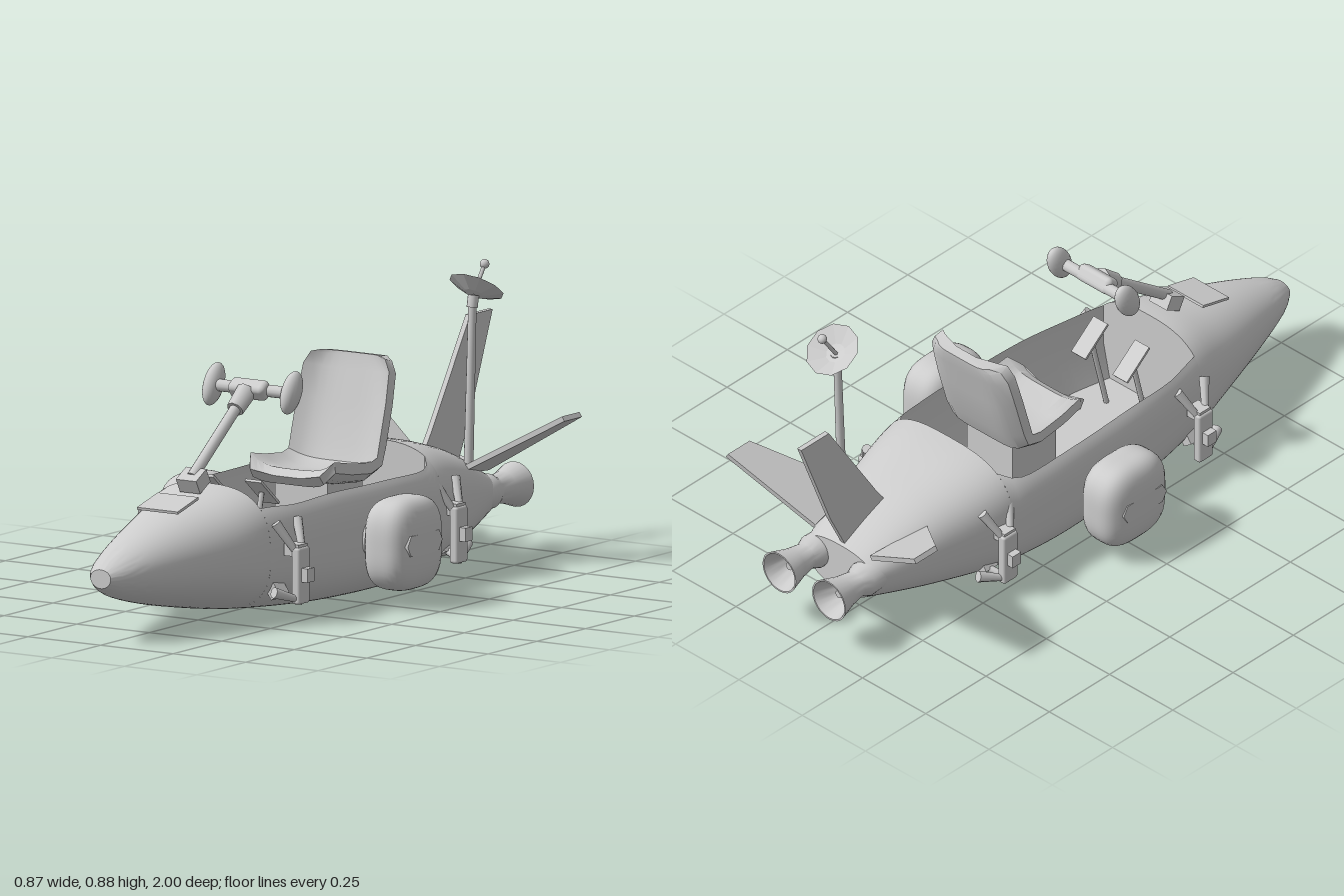
import * as THREE from 'three';
import { toCreasedNormals } from 'three/addons/utils/BufferGeometryUtils.js';
import { RoundedBoxGeometry } from 'three/addons/geometries/RoundedBoxGeometry.js';

const grey = new THREE.MeshStandardMaterial({ color: 0xcccccc, side: THREE.DoubleSide });
grey.name = 'light grey';
const V = (x, y, z) => new THREE.Vector3(x, y, z);

function mesh(name, geo, parent, x = 0, y = 0, z = 0) {
  const m = new THREE.Mesh(geo, grey);
  m.name = name;
  m.position.set(x, y, z);
  parent.add(m);
  return m;
}

// Tapered rod between two points
function rod(name, a, b, r1, r2, parent, sides = 12) {
  const d = b.clone().sub(a);
  const m = mesh(name, new THREE.CylinderGeometry(r2, r1, d.length(), sides), parent);
  m.position.copy(a).add(b).multiplyScalar(0.5);
  m.quaternion.setFromUnitVectors(V(0, 1, 0), d.normalize());
  return m;
}

// Surface through a list of equally long point rows
function loft(rows, capped = false) {
  const pos = [], idx = [], m = rows[0].length;
  rows.forEach(r => r.forEach(p => pos.push(p.x, p.y, p.z)));
  for (let i = 0; i < rows.length - 1; i++) for (let j = 0; j < m - 1; j++) {
    const a = i * m + j, c = a + m;
    idx.push(a, a + 1, c, a + 1, c + 1, c);
  }
  if (capped) [0, rows.length - 1].forEach(i => {
    const mid = rows[i].reduce((s, p) => s.add(p), V(0, 0, 0)).divideScalar(m);
    const k = pos.length / 3;
    pos.push(mid.x, mid.y, mid.z);
    for (let j = 0; j < m - 1; j++) {
      const a = i * m + j;
      idx.push(k, i ? a : a + 1, i ? a + 1 : a);
    }
  });
  const g = new THREE.BufferGeometry();
  g.setAttribute('position', new THREE.Float32BufferAttribute(pos, 3));
  g.setIndex(idx);
  return toCreasedNormals(g, 0.7);
}

// Smooth interpolation in a table sorted by falling z
function sample(table, z) {
  let i = 0;
  while (i < table.length - 2 && z < table[i + 1][0]) i++;
  const p = table[i], q = table[i + 1], o = table[Math.max(i - 1, 0)], r = table[Math.min(i + 2, table.length - 1)];
  const h = q[0] - p[0], t = (z - p[0]) / h, t2 = t * t, t3 = t2 * t;
  return p.slice(1).map((a, k) => {
    k++;
    const m0 = (q[k] - o[k]) / (q[0] - o[0]) * h, m1 = (r[k] - p[k]) / (r[0] - p[0]) * h;
    return (2 * t3 - 3 * t2 + 1) * a + (t3 - 2 * t2 + t) * m0 + (3 * t2 - 2 * t3) * q[k] + (t3 - t2) * m1;
  });
}

// z, half width, top, bottom, squareness
const HULL = [
  [1, 0.035, 0.22, 0.165, 2], [0.95, 0.068, 0.25, 0.135, 2], [0.8, 0.122, 0.305, 0.092, 2.1],
  [0.6, 0.182, 0.358, 0.052, 2.3], [0.45, 0.217, 0.392, 0.03, 2.7], [0.2, 0.252, 0.4, 0.01, 3.1],
  [0, 0.262, 0.4, 0.002, 3.2], [-0.2, 0.265, 0.4, 0.002, 3.2], [-0.4, 0.252, 0.4, 0.014, 2.9],
  [-0.6, 0.205, 0.355, 0.043, 2.6], [-0.72, 0.172, 0.31, 0.068, 2.4], [-0.83, 0.135, 0.255, 0.095, 2.3]];
// z, half width of the cockpit opening
const OPENING = [[0.45, 0.18], [0.3, 0.212], [0, 0.231], [-0.25, 0.234], [-0.34, 0.222], [-0.38, 0.19]];

function hullRow(z, open = false) {
  const [w, top, bottom, n] = sample(HULL, z);
  const phi = open ? Math.asin(Math.pow(sample(OPENING, z)[0] / w, n / 2)) : 0;
  const row = [];
  for (let j = 0; j <= 56; j++) {
    const a = phi + (2 * Math.PI - 2 * phi) * j / 56, s = Math.sin(a), c = Math.cos(a), e = 2 / n;
    const y = Math.sign(c) * Math.pow(Math.abs(c), e);
    row.push(V(w * Math.sign(s) * Math.pow(Math.abs(s), e), 0.195 + y * (c > 0 ? top - 0.195 : 0.195 - bottom), z));
  }
  return row;
}
const steps = (a, b, n) => Array.from({ length: n + 1 }, (_, i) => a + (b - a) * i / n);

function buildHull(g) {
  mesh('noseHull', loft(steps(1, 0.45, 18).map(z => hullRow(z)), true), g);
  mesh('cockpitHull', loft(steps(0.45, -0.38, 26).map(z => hullRow(z, true))), g);
  mesh('tailHull', loft(steps(-0.38, -0.83, 14).map(z => hullRow(z)), true), g);
  // Cockpit lining: walls and floor hung from the rim
  mesh('cockpitTub', loft(steps(0.45, -0.38, 26).map(z => {
    const r = hullRow(z, true)[0], f = r.x * 0.86;
    return [r, V(r.x * 0.99, 0.2, z), V(f, 0.09, z), V(-f, 0.09, z), V(-r.x * 0.99, 0.2, z), V(-r.x, r.y, z)];
  })), g);
  const plate = mesh('nosePlate', new THREE.BoxGeometry(0.14, 0.008, 0.11), g, 0, 0.362, 0.655);
  plate.rotation.x = 0.25;
}

function buildSeat(g) {
  const seat = new THREE.Group();
  seat.name = 'seat';
  g.add(seat);
  // Spine in x = z, y = y with half width, swept with raised side bolsters
  const spine = [[0.035, 0.335, 0.12], [0.015, 0.35, 0.145], [-0.06, 0.335, 0.15], [-0.16, 0.325, 0.152], [-0.225, 0.345, 0.153],
    [-0.25, 0.4, 0.153], [-0.285, 0.52, 0.153], [-0.31, 0.61, 0.148], [-0.32, 0.645, 0.128], [-0.322, 0.658, 0.1]];
  mesh('seatShell', loft(spine.map(([z, y, w], i) => {
    const a = spine[Math.max(i - 1, 0)], b = spine[Math.min(i + 1, spine.length - 1)];
    const n = V(0, -(b[0] - a[0]), b[1] - a[1]).normalize();
    const edge = i === 0 || i === spine.length - 1 ? 0.5 : 1;
    const at = (x, d) => V(x * w, y, z).addScaledVector(n, d);
    const front = steps(1, -1, 12).map(x => at(x, 0.018 + 0.034 * edge * Math.pow(Math.abs(x), 4)));
    const back = steps(-1, 1, 12).map(x => at(x * 1.02, -0.014 + 0.034 * edge * Math.pow(Math.abs(x), 6)));
    return [...front, ...back, front[0].clone()].reverse();
  }), true), seat);
  mesh('seatPedestal', new THREE.BoxGeometry(0.18, 0.24, 0.18), seat, 0, 0.21, -0.12);
}

function buildSteering(g) {
  const base = mesh('steeringBase', new THREE.BoxGeometry(0.07, 0.045, 0.06), g, 0, 0.41, 0.525);
  base.rotation.x = 0.5;
  rod('steeringColumn', V(0, 0.42, 0.53), V(0, 0.6, 0.29), 0.017, 0.017, g);
  rod('steeringCollar', V(0, 0.585, 0.31), V(0, 0.63, 0.25), 0.026, 0.03, g, 8);
  const hub = mesh('steeringHub', new RoundedBoxGeometry(0.125, 0.05, 0.05, 3, 0.015), g, 0, 0.633, 0.235);
  hub.rotation.x = 0.6;
  rod('yokeBar', V(-0.13, 0.632, 0.225), V(0.13, 0.632, 0.225), 0.018, 0.018, g);
  for (const s of [-1, 1]) {
    const grip = mesh('handGrip', new THREE.SphereGeometry(1, 20, 14), g, s * 0.134, 0.633, 0.22);
    grip.scale.set(0.026, 0.065, 0.038);
    grip.rotation.x = -0.5;
    const pedal = mesh('pedal', new THREE.BoxGeometry(0.056, 0.008, 0.12), g, s * 0.082, 0.352, 0.292);
    pedal.rotation.x = -0.68;
    rod('pedalArm', V(s * 0.082, 0.35, 0.295), V(s * 0.082, 0.09, 0.36), 0.008, 0.008, g, 8);
  }
}

// Everything that appears once on each side, modelled on +x
function buildSide(g) {
  const pod = new THREE.SphereGeometry(1, 40, 28), p = pod.attributes.position, v = V(0, 0, 0);
  for (let i = 0; i < p.count; i++) {
    v.fromBufferAttribute(p, i);
    const k = Math.pow(['x', 'y', 'z'].reduce((s, a) => s + Math.pow(Math.abs(v[a]), 3.2), 0), -1 / 3.2);
    p.setXYZ(i, v.x * k * 0.08, v.y * k * 0.135, v.z * k * 0.127);
  }
  pod.computeVertexNormals();
  mesh('sidePod', pod, g, 0.355, 0.185, -0.025);
  rod('podMount', V(0.24, 0.19, -0.025), V(0.3, 0.19, -0.025), 0.07, 0.07, g, 16);
  for (const z of [0.035, -0.075]) rod('podPort', V(0.405, 0.19, z), V(0.434, 0.19, z), 0.034, 0.034, g, 6);

  // Steering jets, front and rear
  for (const [z, f] of [[0.385, 1], [-0.425, -1]]) {
    const jet = new THREE.Group();
    jet.name = 'jetBracket';
    jet.position.z = z;
    jet.scale.z = f;
    g.add(jet);
    mesh('jetBody', new RoundedBoxGeometry(0.028, 0.165, 0.058, 2, 0.008), jet, 0.277, 0.142, 0);
    mesh('jetBlock', new THREE.BoxGeometry(0.025, 0.04, 0.035), jet, 0.3, 0.145, 0);
    mesh('jetCuff', new THREE.BoxGeometry(0.05, 0.035, 0.045), jet, 0.26, 0.215, 0);
    for (const s of [-1, 1]) rod('upperNozzle', V(0.272, 0.21, s * 0.015), V(0.228, 0.295, s * 0.055), 0.01, 0.015, jet, 8);
    rod('lowerArm', V(0.283, 0.066, 0), V(0.205, 0.09, 0.03), 0.011, 0.011, jet, 8);
    rod('lowerNozzle', V(0.275, 0.075, 0.02), V(0.245, 0.1, 0.09), 0.01, 0.017, jet, 8);
    const foot = mesh('jetFoot', new THREE.BoxGeometry(0.035, 0.045, 0.05), jet, 0.207, 0.096, 0.02);
    foot.rotation.z = 0.6;
  }

  // Tail wing, a thin slab rising outwards
  const slope = V(0.84, 0.54, 0), along = V(0, 0, 1);
  const shape = new THREE.Shape([[0, -0.62], [0.27, -0.82], [0.27, -0.91], [-0.04, -0.82]].map(q => new THREE.Vector2(...q)));
  const wing = new THREE.ExtrudeGeometry(shape, { depth: 0.016, bevelEnabled: false });
  wing.translate(0, 0, -0.008);
  wing.applyMatrix4(new THREE.Matrix4().makeBasis(slope, along, slope.clone().cross(along)));
  mesh('tailWing', wing, g, 0.145, 0.282, 0);

  // Rocket engine with a flared bell
  const profile = [[0.05, 0], [0.052, 0.06], [0.04, 0.09], [0.048, 0.14], [0.066, 0.2], [0.061, 0.2], [0.04, 0.14], [0.025, 0.1], [0, 0.1]];
  const bell = new THREE.LatheGeometry(profile.map(q => new THREE.Vector2(...q)), 24);
  bell.rotateX(-Math.PI / 2);
  mesh('rocketEngine', toCreasedNormals(bell, 0.6), g, 0.098, 0.188, -0.78);
  rod('engineCore', V(0.098, 0.188, -0.87), V(0.098, 0.188, -0.94), 0.02, 0.012, g);
}

function buildTail(g) {
  // Upright fin in the z-y plane
  const shape = new THREE.Shape([[-0.64, 0.31], [-0.69, 0.38], [-0.885, 0.685], [-1, 0.685], [-0.88, 0.38], [-0.81, 0.24]]
    .map(([z, y]) => new THREE.Vector2(-z, y)));
  const fin = new THREE.ExtrudeGeometry(shape, { depth: 0.016, bevelEnabled: false });
  fin.translate(0, 0, -0.008);
  fin.rotateY(Math.PI / 2);
  mesh('tailFin', fin, g);

  // Dish antenna
  rod('antennaPost', V(0.15, 0.3, -0.665), V(0.15, 0.77, -0.685), 0.014, 0.012, g);
  const tilt = V(0, 0.82, -0.57).normalize(), foot = V(0.15, 0.785, -0.69);
  rod('antennaJoint', V(0.15, 0.75, -0.683), foot, 0.016, 0.016, g);
  const dish = toCreasedNormals(new THREE.LatheGeometry(
    [[0, 0], [0.03, 0.004], [0.083, 0.027]].map(q => new THREE.Vector2(...q)), 10), 0.2);
  const d = mesh('antennaDish', dish, g);
  d.position.copy(foot);
  d.quaternion.setFromUnitVectors(V(0, 1, 0), tilt);
  const tip = foot.clone().addScaledVector(tilt, 0.1);
  rod('antennaFeed', foot, tip, 0.006, 0.006, g, 8);
  mesh('antennaBall', new THREE.SphereGeometry(0.014, 14, 10), g, tip.x, tip.y, tip.z);
}

export function createModel() {
  const g = new THREE.Group();
  g.name = 'rocketCar';
  buildHull(g);
  buildSeat(g);
  buildSteering(g);
  for (const s of [1, -1]) {
    const side = new THREE.Group();
    side.name = s > 0 ? 'leftSide' : 'rightSide';
    side.scale.x = s;
    g.add(side);
    buildSide(side);
  }
  buildTail(g);
  return g;
}
